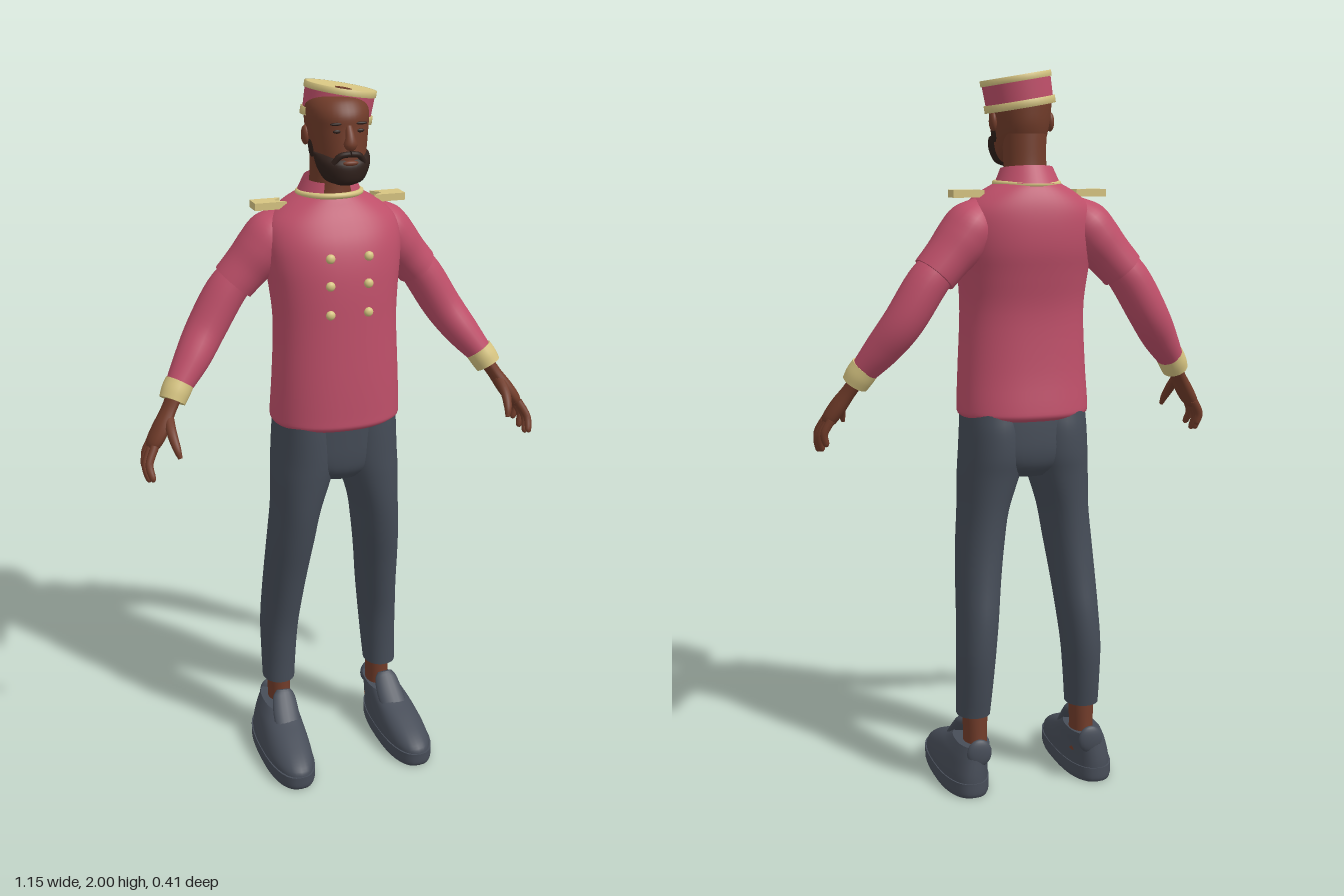
import * as THREE from 'three';

const paint = (name, color) => {
  const m = new THREE.MeshStandardMaterial({ color });
  m.name = name;
  return m;
};

// Skin a list of rings (equal point counts) and cap both ends.
function skinRings(rings) {
  const n = rings[0].length, pos = [], idx = [];
  rings.forEach(r => r.forEach(p => pos.push(p.x, p.y, p.z)));
  for (let i = 0; i < rings.length - 1; i++) {
    for (let j = 0; j < n; j++) {
      const a = i * n + j, c = i * n + (j + 1) % n;
      idx.push(a, a + n, c, a + n, c + n, c);
    }
  }
  [0, rings.length - 1].forEach((row, end) => {
    const start = pos.length / 3, mid = new THREE.Vector3();
    rings[row].forEach(p => { pos.push(p.x, p.y, p.z); mid.addScaledVector(p, 1 / n); });
    pos.push(mid.x, mid.y, mid.z);
    for (let j = 0; j < n; j++) {
      const a = start + j, b = start + (j + 1) % n, m = start + n;
      if (end) idx.push(a, m, b); else idx.push(m, a, b);
    }
  });
  const g = new THREE.BufferGeometry();
  g.setAttribute('position', new THREE.Float32BufferAttribute(pos, 3));
  g.setIndex(idx);
  g.computeVertexNormals();
  return g;
}

// Smooth body from level cross-sections: [y, centre x, half width, front z, back z].
function loft(rows, power = 2, n = 36) {
  const c1 = new THREE.CatmullRomCurve3(rows.map(r => new THREE.Vector3(r[0], r[1], r[2])), false, 'catmullrom');
  const c2 = new THREE.CatmullRomCurve3(rows.map(r => new THREE.Vector3(r[3], r[4], 0)), false, 'catmullrom');
  const bend = v => Math.sign(v) * Math.pow(Math.abs(v), 2 / power);
  const steps = (rows.length - 1) * 4, rings = [];
  for (let i = 0; i <= steps; i++) {
    const p = c1.getPoint(i / steps), q = c2.getPoint(i / steps), ring = [];
    for (let j = 0; j < n; j++) {
      const a = j / n * Math.PI * 2;
      ring.push(new THREE.Vector3(p.y + p.z * bend(Math.cos(a)), p.x,
        (q.x + q.y) / 2 + (q.x - q.y) / 2 * bend(Math.sin(a))));
    }
    rings.push(ring);
  }
  return skinRings(rings);
}

// Tapered tube through [x, y, z, radius]; depth widens it towards z.
function limb(pts, depth = 1, n = 16) {
  const path = new THREE.CatmullRomCurve3(pts.map(p => new THREE.Vector3(p[0], p[1], p[2])), false, 'catmullrom');
  const rad = new THREE.CatmullRomCurve3(pts.map((p, i) => new THREE.Vector3(i, p[3], 0)), false, 'catmullrom');
  const steps = (pts.length - 1) * 5, rings = [], Z = new THREE.Vector3(0, 0, 1);
  for (let i = 0; i <= steps; i++) {
    const t = i / steps, c = path.getPoint(t), r = rad.getPoint(t).y, T = path.getTangent(t);
    const N = T.clone().cross(Z).normalize(), B = N.clone().cross(T), ring = [];
    for (let j = 0; j < n; j++) {
      const a = j / n * Math.PI * 2;
      ring.push(c.clone().addScaledVector(N, r * Math.cos(a)).addScaledVector(B, r * depth * Math.sin(a)));
    }
    rings.push(ring);
  }
  return skinRings(rings);
}

const ball = (sx, sy, sz) => new THREE.SphereGeometry(1, 20, 14).scale(sx, sy, sz);

export function createModel() {
  const red = paint('jacket red', 0xbe4f69), gold = paint('trim gold', 0xd6c481);
  const slate = paint('trouser slate', 0x454c57), shoeMat = paint('shoe slate', 0x474d58);
  const skin = paint('skin brown', 0x713c2a), hair = paint('beard brown', 0x2f201b);
  red.side = THREE.DoubleSide;

  const model = new THREE.Group();
  const add = (parent, name, geo, mat, x = 0, y = 0, z = 0) => {
    const m = new THREE.Mesh(geo, mat);
    m.name = name;
    m.position.set(x, y, z);
    parent.add(m);
    return m;
  };

  // Jacket body, hips and neck
  add(model, 'jacketBody', loft([
    [1.06, 0, 0.165, 0.08, -0.17], [1.072, 0, 0.182, 0.095, -0.185], [1.1, 0, 0.184, 0.096, -0.184],
    [1.2, 0, 0.179, 0.095, -0.172], [1.35, 0, 0.173, 0.09, -0.168], [1.45, 0, 0.18, 0.086, -0.185],
    [1.52, 0, 0.19, 0.078, -0.2], [1.58, 0, 0.194, 0.062, -0.203], [1.63, 0, 0.182, 0.038, -0.198],
    [1.67, 0, 0.14, 0.014, -0.186], [1.7, 0, 0.088, -0.004, -0.168], [1.71, 0, 0.06, -0.02, -0.14]], 2.25, 48), red);
  add(model, 'hips', loft([
    [0.9, 0, 0.07, 0.04, -0.13], [0.93, 0, 0.13, 0.062, -0.16], [0.97, 0, 0.168, 0.07, -0.172],
    [1.03, 0, 0.175, 0.073, -0.172], [1.09, 0, 0.173, 0.075, -0.168]], 2.3), slate);
  add(model, 'neck', loft([
    [1.68, 0, 0.066, -0.004, -0.145], [1.72, 0, 0.06, -0.008, -0.132],
    [1.76, 0, 0.058, -0.008, -0.126], [1.83, 0, 0.06, 0, -0.122]]), skin);

  // Open collar with a gold band at its foot
  const collar = add(model, 'collar',
    new THREE.CylinderGeometry(0.071, 0.092, 0.05, 36, 2, true, 0.5, Math.PI * 2 - 1), red, 0, 1.716, -0.083);
  collar.rotation.x = 0.1;
  const band = add(model, 'collarTrim',
    new THREE.TorusGeometry(0.086, 0.008, 10, 40).rotateX(Math.PI / 2), gold, 0, 1.7, -0.083);
  band.rotation.x = -0.03;

  // Two columns of buttons
  for (const x of [-0.054, 0.054]) {
    for (const y of [1.555, 1.48, 1.4]) add(model, 'button', ball(0.013, 0.013, 0.01), gold, x, y, 0.086);
  }

  // Head
  const head = new THREE.Group();
  head.name = 'head';
  model.add(head);
  add(head, 'skull', loft([
    [1.748, 0, 0.025, 0.06, 0], [1.757, 0, 0.045, 0.078, -0.04], [1.78, 0, 0.06, 0.086, -0.08],
    [1.81, 0, 0.069, 0.086, -0.11], [1.85, 0, 0.076, 0.083, -0.124], [1.89, 0, 0.081, 0.08, -0.127],
    [1.92, 0, 0.083, 0.079, -0.126], [1.945, 0, 0.078, 0.066, -0.118], [1.965, 0, 0.06, 0.044, -0.1],
    [1.978, 0, 0.025, 0.0, -0.06]], 2.1), skin);
  add(head, 'beard', loft([
    [1.744, 0, 0.025, 0.07, 0.0], [1.755, 0, 0.05, 0.09, -0.02], [1.78, 0, 0.066, 0.096, -0.035],
    [1.805, 0, 0.0735, 0.092, -0.045], [1.822, 0, 0.0745, 0.07, -0.045], [1.826, 0, 0.07, 0.05, -0.04]], 2.1), hair);
  add(head, 'mouth', ball(0.021, 0.007, 0.008), skin, 0, 1.806, 0.091);
  add(head, 'nose', limb([[0, 1.898, 0.074, 0.009], [0, 1.872, 0.087, 0.013], [0, 1.853, 0.088, 0.018],
    [0, 1.844, 0.082, 0.012]], 0.9), skin);
  for (const s of [-1, 1]) {
    add(head, 'moustache', limb([[0, 1.829, 0.088, 0.008], [s * 0.026, 1.824, 0.083, 0.008],
      [s * 0.042, 1.804, 0.075, 0.008]]), hair);
    add(head, 'sideburn', ball(0.008, 0.03, 0.02), hair, s * 0.07, 1.838, -0.018);
    add(head, 'ear', ball(0.011, 0.026, 0.017), skin, s * 0.081, 1.863, -0.04);
    add(head, 'eye', ball(0.011, 0.005, 0.004), hair, s * 0.032, 1.886, 0.074);
    add(head, 'eyebrow', ball(0.017, 0.004, 0.005), hair, s * 0.034, 1.905, 0.074);
  }

  // Tilted round cap
  const cap = new THREE.Group();
  cap.name = 'cap';
  cap.position.set(0.016, 1.943, -0.054);
  cap.rotation.z = -0.17;
  model.add(cap);
  const turn = pts => new THREE.LatheGeometry(pts.map(p => new THREE.Vector2(...p)), 40);
  add(cap, 'capSide', turn([[0.091, -0.042], [0.094, 0.036]]), red);
  add(cap, 'capBand', turn([[0.088, -0.045], [0.097, -0.045], [0.097, -0.025], [0.09, -0.025]]), gold);
  add(cap, 'capTop', turn([[0.092, 0.025], [0.097, 0.025], [0.097, 0.041], [0.09, 0.041], [0.04, 0.036], [0, 0.035]]), gold);
  add(cap, 'crownPatch', new THREE.CylinderGeometry(0.024, 0.024, 0.004, 5), skin, 0, 0.036, 0.018);

  // Arm and leg, built on the left and mirrored
  for (const s of [1, -1]) {
    const side = new THREE.Group();
    side.name = s > 0 ? 'leftLimbs' : 'rightLimbs';
    side.scale.x = s;
    model.add(side);

    add(side, 'upperSleeve', limb([[0.12, 1.635, -0.095, 0.04], [0.155, 1.595, -0.098, 0.068],
      [0.19, 1.55, -0.102, 0.071], [0.23, 1.505, -0.108, 0.064], [0.268, 1.462, -0.112, 0.061]], 1.15, 24), red);
    add(side, 'lowerSleeve', limb([[0.24, 1.495, -0.108, 0.05], [0.29, 1.437, -0.114, 0.056],
      [0.35, 1.34, -0.106, 0.055], [0.4, 1.267, -0.075, 0.049], [0.455, 1.195, -0.04, 0.035]], 1.1, 24), red);
    add(side, 'cuff', limb([[0.444, 1.212, -0.047, 0.04], [0.458, 1.19, -0.039, 0.04], [0.47, 1.168, -0.031, 0.037]], 1.08, 24), gold);

    // Hand
    add(side, 'palm', limb([[0.46, 1.185, -0.036, 0.02], [0.485, 1.145, -0.02, 0.019], [0.512, 1.103, -0.002, 0.022],
      [0.535, 1.068, 0.008, 0.02], [0.543, 1.052, 0.01, 0.012]], 1.8), skin);
    const fingers = [[0.538, 1.068, 0.038, 0.556, 0.985, 0.076], [0.545, 1.06, 0.018, 0.56, 0.972, 0.044],
      [0.543, 1.06, -0.003, 0.557, 0.978, 0.012], [0.536, 1.068, -0.022, 0.55, 0.995, -0.016]];
    for (const [x, y, z, tx, ty, tz] of fingers) {
      add(side, 'finger', limb([[x, y, z, 0.012], [(x + tx) / 2 + 0.012, (y + ty) / 2, (z + tz) / 2, 0.011],
        [tx, ty + 0.008, tz, 0.009], [tx - 0.002, ty, tz, 0.004]], 1, 10), skin);
    }
    add(side, 'thumb', limb([[0.488, 1.14, -0.005, 0.014], [0.492, 1.105, 0.045, 0.014], [0.487, 1.07, 0.078, 0.011],
      [0.481, 1.045, 0.09, 0.006]], 1, 10), skin);

    // Shoulder tab, notched at the inner end
    const tab = new THREE.Shape([[0.215, -0.12], [0.215, -0.065], [0.125, -0.065], [0.155, -0.092], [0.13, -0.12]]
      .map(p => new THREE.Vector2(...p)));
    add(side, 'shoulderTab', new THREE.ExtrudeGeometry(tab, { depth: 0.02, bevelEnabled: false })
      .rotateX(Math.PI / 2), gold, 0, 1.683, 0);

    add(side, 'trouserLeg', loft([
      [0.22, 0.163, 0.047, -0.042, -0.153], [0.3, 0.16, 0.05, -0.038, -0.17], [0.4, 0.156, 0.054, -0.028, -0.184],
      [0.5, 0.148, 0.057, -0.007, -0.182], [0.6, 0.14, 0.061, 0.016, -0.167], [0.7, 0.13, 0.065, 0.041, -0.157],
      [0.8, 0.118, 0.069, 0.06, -0.156], [0.9, 0.101, 0.084, 0.07, -0.165], [0.96, 0.092, 0.09, 0.073, -0.174],
      [1.03, 0.09, 0.088, 0.074, -0.174], [1.08, 0.09, 0.085, 0.073, -0.165]], 2.1), slate);
    add(side, 'ankle', loft([[0.08, 0.16, 0.036, -0.05, -0.155], [0.15, 0.16, 0.033, -0.062, -0.15],
      [0.24, 0.16, 0.036, -0.062, -0.148]]), skin);

    // Shoe
    add(side, 'sole', loft([[0, 0.185, 0.068, 0.199, -0.186], [0.012, 0.185, 0.071, 0.205, -0.19],
      [0.042, 0.185, 0.071, 0.206, -0.19]], 2.5), shoeMat);
    add(side, 'shoeUpper', loft([
      [0.03, 0.185, 0.069, 0.203, -0.187], [0.055, 0.184, 0.068, 0.196, -0.187], [0.08, 0.181, 0.064, 0.158, -0.185],
      [0.105, 0.177, 0.058, 0.095, -0.182], [0.125, 0.172, 0.052, 0.035, -0.18], [0.142, 0.168, 0.046, -0.005, -0.178]], 2.35), shoeMat);
    add(side, 'shoeTongue', limb([[0.172, 0.1, 0.035, 0.04], [0.168, 0.14, -0.008, 0.04], [0.165, 0.175, -0.037, 0.034],
      [0.164, 0.193, -0.045, 0.022]], 0.45), shoeMat);
    add(side, 'heelTab', ball(0.036, 0.04, 0.014), shoeMat, 0.166, 0.125, -0.17);
  }
  return model;
}
